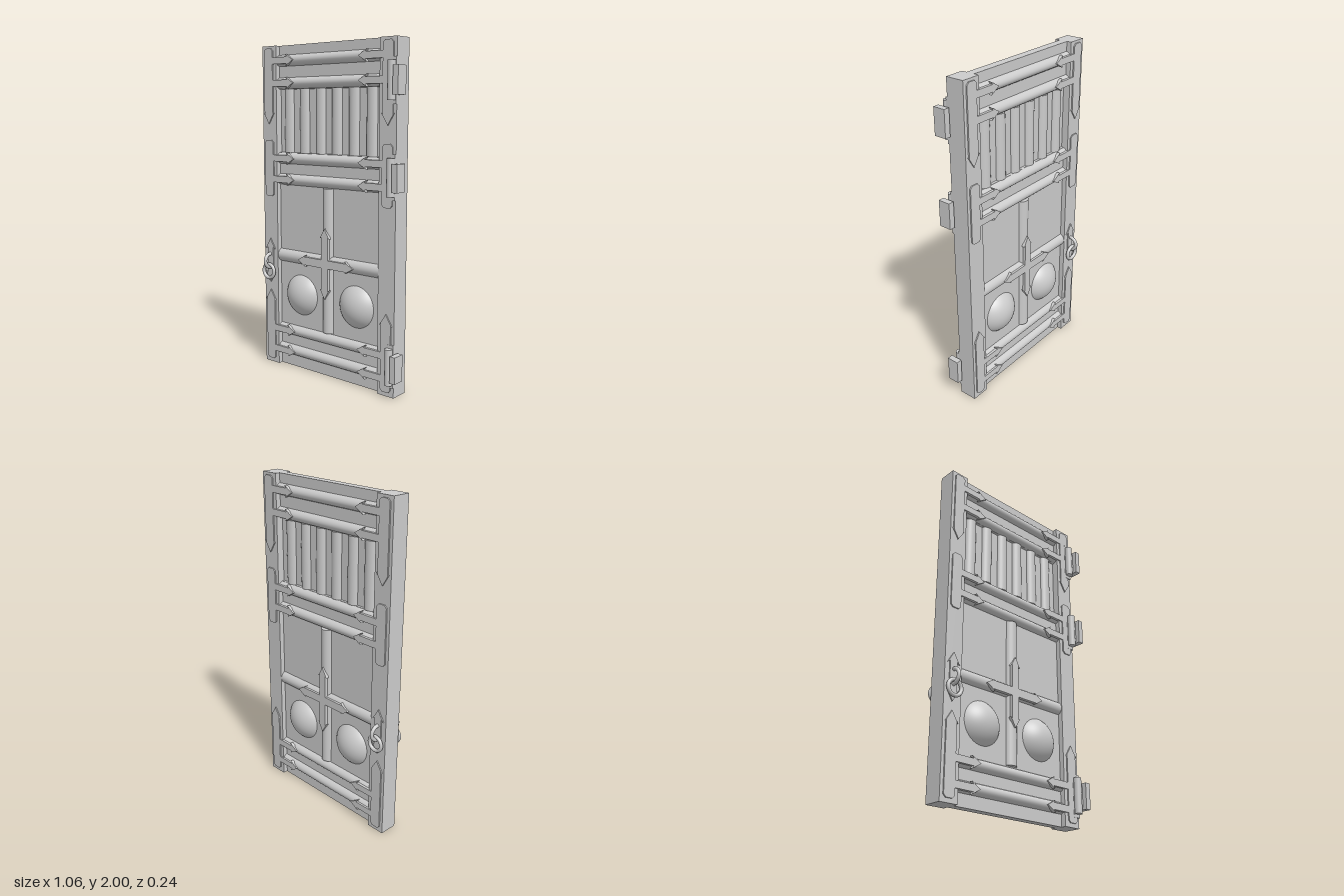
import * as THREE from 'three';

const MID = -0.0225;            // centre line of the door leaf
const mat = new THREE.MeshStandardMaterial({ color: 0xcccccc });

export function createModel() {
  const door = new THREE.Group();
  door.name = 'door';

  const add = (name, geo, x = 0, y = 0, z = 0, parent = door) => {
    const m = new THREE.Mesh(geo, mat);
    m.name = name;
    m.position.set(x, y, z);
    parent.add(m);
    return m;
  };
  const box = (name, w, h, d, x, y, z, parent) => add(name, new THREE.BoxGeometry(w, h, d), x, y, z, parent);

  // Elliptical bar, r across and rz deep, showing on both faces
  const bar = (name, len, r, rz, x, y, horizontal) => {
    const geo = new THREE.CylinderGeometry(r, r, len, 32);
    if (horizontal) geo.rotateZ(Math.PI / 2);
    geo.scale(1, 1, rz / r);
    return add(name, geo, x, y, 0);
  };

  // Core panel with an opening for the slats, and the two stiles
  box('lowerPanel', 0.785, 1.355, 0.05, MID, 0.6775, 0);
  box('upperPanel', 0.785, 0.26, 0.05, MID, 1.87, 0);
  box('slatBacking', 0.785, 0.385, 0.024, MID, 1.5475, 0);
  box('rightStile', 0.115, 2, 0.11, -0.4725, 1, 0);
  box('leftStile', 0.115, 2, 0.11, 0.4275, 1, 0);

  // Rounded rails, cross bars and slats
  for (const y of [0.105, 0.235, 1.19, 1.32, 1.775, 1.91]) bar('rail', 0.785, 0.038, 0.055, MID, y, true);
  bar('crossRail', 0.785, 0.045, 0.053, MID, 0.71, true);
  bar('crossMullion', 0.88, 0.045, 0.053, MID, 0.715, false);
  for (let i = 0; i < 6; i++) bar('slat', 0.385, 0.04, 0.036, -0.343 + i * 0.1266, 1.5475, false);

  // Arrow outline starting at (x, y) and pointing along (dx, dy)
  const arrow = (x, y, dx, dy, len, w, headW, headL) =>
    [[0, w], [len - headL, w], [len - headL * 1.2, headW], [len, 0],
      [len - headL * 1.2, -headW], [len - headL, -w], [0, -w]]
      .map(([a, s]) => [x + dx * a - dy * s, y + dy * a + dx * s]);
  const arm = (y) => arrow(-0.44, y, 1, 0, 0.17, 0.02, 0.035, 0.05);

  // Thin plate laid on both faces of the door
  const plate = (name, pts) => {
    const shape = new THREE.Shape(pts.map(([x, y]) => new THREE.Vector2(x, y)));
    const geo = new THREE.ExtrudeGeometry(shape, { depth: 0.02, bevelEnabled: false });
    add(name, geo, 0, 0, 0.0425);
    add(name, geo, 0, 0, -0.0625);
  };
  const mirrorX = (pts) => pts.map(([x, y]) => [2 * MID - x, y]);
  const mirrorY = (pts) => pts.map(([x, y]) => [x, 2.01 - y]);

  // Corner and middle straps
  const corner = [[-0.51, 1.97], [-0.495, 1.985], [-0.455, 1.985], [-0.44, 1.97],
    ...arm(1.91), ...arm(1.775), ...arrow(-0.475, 1.7, 0, -1, 0.17, 0.035, 0.042, 0.055)];
  corner.splice(18, 0, [-0.44, 1.7]);
  const middle = [[-0.51, 1.415], [-0.495, 1.43], [-0.455, 1.43], [-0.44, 1.415],
    ...arm(1.32), ...arm(1.19), [-0.44, 1.095], [-0.455, 1.08], [-0.495, 1.08], [-0.51, 1.095]];
  for (const side of [(p) => p, mirrorX]) {
    plate('topStrap', side(corner));
    plate('middleStrap', side(middle));
    plate('bottomStrap', side(mirrorY(corner)));
  }

  // Cross ornament and handle plate
  const inner = 0.025;
  plate('crossOrnament', [[0, 1], [1, 0], [0, -1], [-1, 0]].flatMap(([dx, dy]) =>
    arrow(MID + dx * inner, 0.703 + dy * inner, dx, dy, 0.19, inner, 0.035, 0.05)));
  plate('handlePlate', [[0, 1], [0, -1]].flatMap(([dx, dy]) =>
    arrow(-0.475, 0.67, dx, dy, 0.14, 0.024, 0.04, 0.055)));

  // Domed bosses, as spherical caps on both faces
  const R = 0.157, cap = Math.asin(0.127 / R);
  for (const x of [-0.2375, 0.1925]) {
    for (const s of [1, -1]) {
      const geo = new THREE.SphereGeometry(R, 40, 16, 0, Math.PI * 2, 0, cap);
      geo.rotateX(s * Math.PI / 2);
      add('boss', geo, x, 0.473, s * (0.089 - R));
    }
  }

  // Ring handles: an eye in the plate with a hanging ring
  for (const s of [1, -1]) {
    const eye = add('handleEye', new THREE.TorusGeometry(0.043, 0.011, 12, 32), -0.475, 0.668, s * 0.065);
    eye.rotation.y = Math.PI / 2;
    add('handleRing', new THREE.TorusGeometry(0.044, 0.011, 12, 36), -0.475, 0.602, s * 0.077);
  }

  // Hinges: barrel on the stile, short arm and outer leaf
  for (const y of [1.77, 1.25, 0.185]) {
    const hinge = new THREE.Group();
    hinge.name = 'hinge';
    hinge.position.y = y;
    door.add(hinge);
    box('hingeBase', 0.047, 0.25, 0.012, 0.4615, 0, 0.058, hinge);
    add('hingeBarrel', new THREE.CylinderGeometry(0.023, 0.023, 0.21, 20), 0.463, 0, 0.074, hinge);
    box('hingeArm', 0.03, 0.13, 0.014, 0.487, 0, 0.075, hinge);
    box('hingeLeaf', 0.035, 0.155, 0.074, 0.5125, 0, 0.072, hinge);
  }

  const model = new THREE.Group();
  model.name = 'model';
  door.position.z = -0.002;
  model.add(door);
  return model;
}
